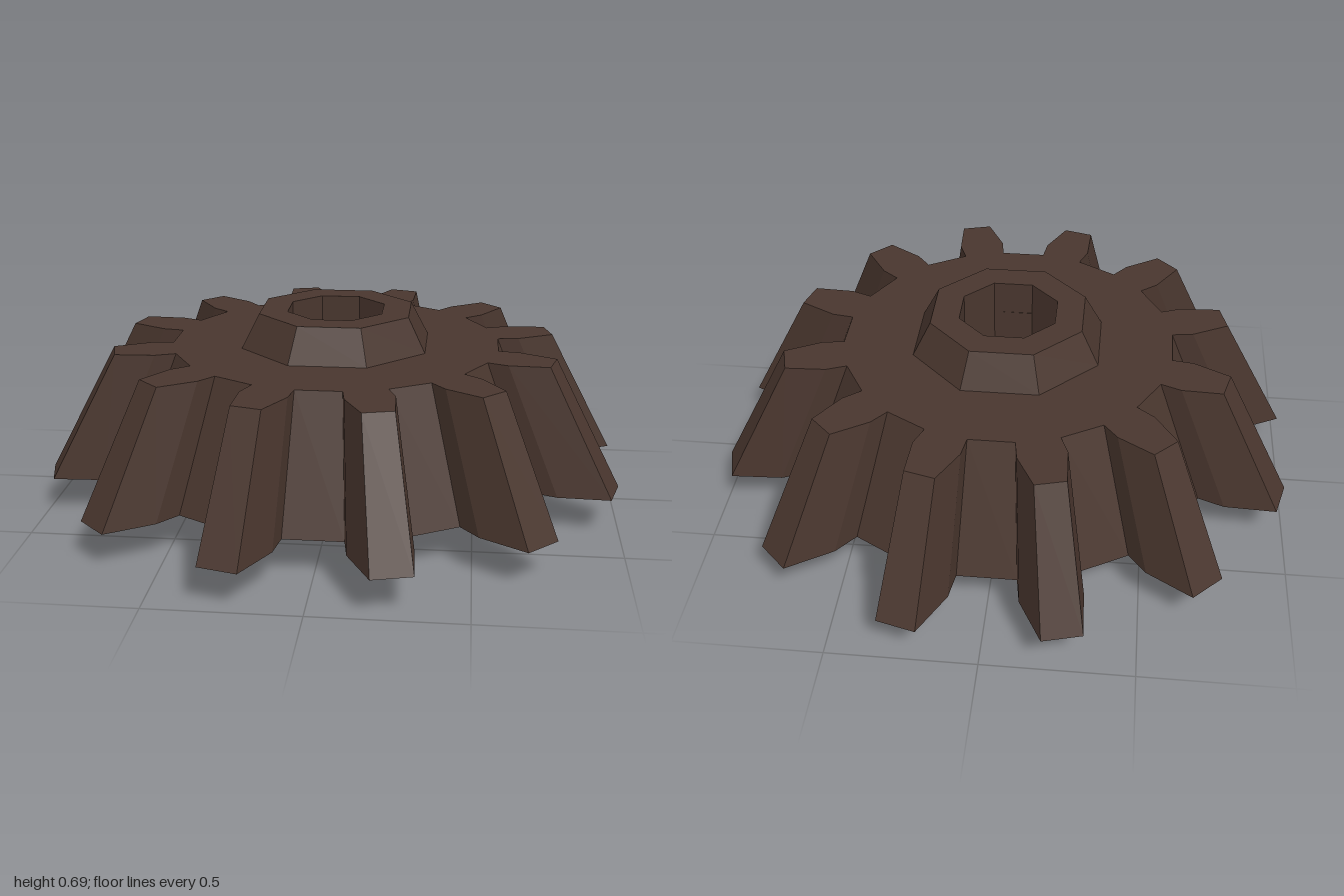
import * as THREE from 'three';

const TEETH = 12;
const Y_LOW = 0.13, Y_HIGH = 0.57; // toothed body height range
const TAPER = 0.77;                // size of the body's top against its base
const BORE = 0.165;                // across-flats radius of the octagonal bore

// Octagon corner radius from its across-flats radius
const corner = (flat) => flat / Math.cos(Math.PI / 8);

// Octagonal ring from a [flatRadius, y] profile, run upward on the outside
function octagonRing(profile) {
  const points = profile.map(([r, y]) => new THREE.Vector2(corner(r), y));
  const geometry = new THREE.LatheGeometry(points, 8, Math.PI / 8).toNonIndexed();
  geometry.computeVertexNormals();
  return geometry;
}

// Toothed outline with bore, extruded and tapered toward the top
function toothedBody() {
  // half a tooth as [distance from centre, half width]
  const half = [[0.745, 0.096], [0.841, 0.107], [1.018, 0.068]];
  const tooth = [
    ...half.map(([r, w]) => [r, -w]),
    ...half.slice().reverse(),
  ];
  const outline = [];
  for (let i = 0; i < TEETH; i++) {
    const angle = ((i + 0.5) / TEETH) * Math.PI * 2;
    for (const [r, w] of tooth) {
      outline.push(new THREE.Vector2(r, w).rotateAround(new THREE.Vector2(), angle));
    }
  }
  const shape = new THREE.Shape(outline);

  const hole = [];
  for (let i = 0; i < 8; i++) {
    const a = -((i + 0.5) / 8) * Math.PI * 2;
    hole.push(new THREE.Vector2(Math.cos(a), Math.sin(a)).multiplyScalar(corner(BORE)));
  }
  shape.holes.push(new THREE.Path(hole));

  const geometry = new THREE.ExtrudeGeometry(shape, {
    depth: Y_HIGH - Y_LOW, bevelEnabled: false,
  });
  geometry.rotateX(-Math.PI / 2);
  geometry.translate(0, Y_LOW, 0);

  // shrink the upper outline, leaving the bore straight
  const p = geometry.attributes.position;
  for (let i = 0; i < p.count; i++) {
    const x = p.getX(i), z = p.getZ(i);
    if (p.getY(i) > 0.4 && Math.hypot(x, z) > 0.3) {
      p.setX(i, x * TAPER);
      p.setZ(i, z * TAPER);
    }
  }
  geometry.computeVertexNormals();
  return geometry;
}

export function createModel() {
  const group = new THREE.Group();
  group.name = 'bevelGear';
  const darkIron = new THREE.MeshStandardMaterial({ color: 0x49362e });
  darkIron.name = 'darkIron';

  const add = (name, geometry) => {
    const mesh = new THREE.Mesh(geometry, darkIron);
    mesh.name = name;
    group.add(mesh);
  };

  add('toothedBody', toothedBody());
  // raised collar around the bore
  add('upperHub', octagonRing([[0.32, Y_HIGH], [0.26, 0.69], [BORE, 0.69], [BORE, Y_HIGH]]));
  // lower flange with a wider recess inside
  add('lowerHub', octagonRing([[0.29, Y_LOW], [0.29, 0], [0.43, 0], [0.535, Y_LOW]]));
  return group;
}
